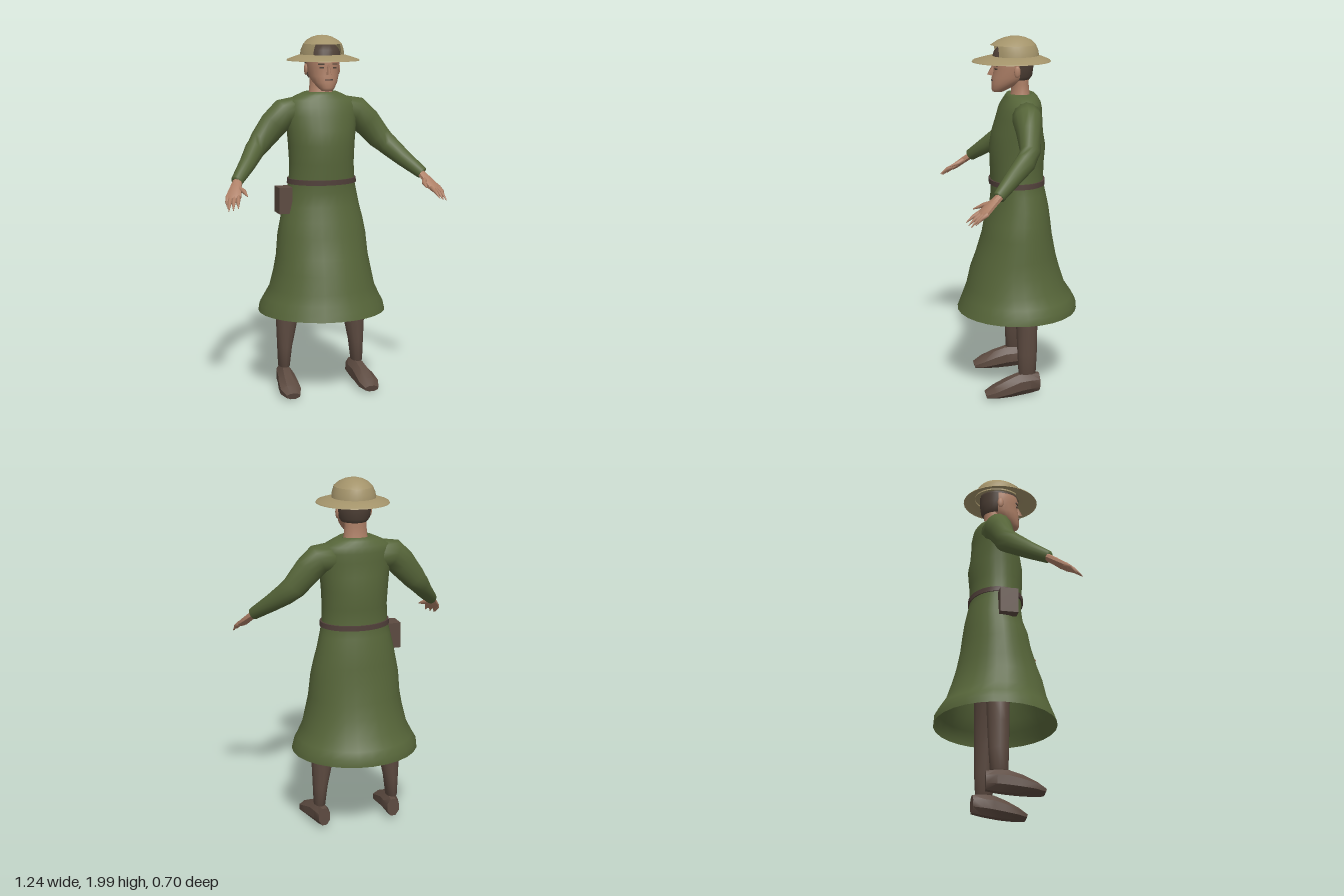
import * as THREE from 'three';
import { toCreasedNormals } from 'three/addons/utils/BufferGeometryUtils.js';

const V = (x, y, z) => new THREE.Vector3(x, y, z);

// Joins rings of points into a surface; wrap closes each ring.
function skin(rings, wrap = true) {
  const n = rings[0].length, index = [];
  for (let i = 0; i < rings.length - 1; i++) {
    for (let j = 0; j < (wrap ? n : n - 1); j++) {
      const k = (j + 1) % n, a = i * n + j, b = i * n + k, c = a + n, d = b + n;
      index.push(a, b, d, a, d, c);
    }
  }
  const g = new THREE.BufferGeometry();
  g.setFromPoints(rings.flat());
  g.setIndex(index);
  g.computeVertexNormals();
  return g;
}

// Upright loft through ellipses [y, halfWidth, zFront, zBack, xCentre]; angle 0 is the front.
function loft(sections, n = 24, from = 0, to = Math.PI * 2) {
  const wrap = to - from > 6.28;
  const rings = sections.map(([y, rx, zf, zb, cx = 0]) =>
    Array.from({ length: wrap ? n : n + 1 }, (_, j) => {
      const a = from + (to - from) * j / n;
      return V(cx + rx * Math.sin(a), y, (zf + zb) / 2 + (zf - zb) / 2 * Math.cos(a));
    }));
  return skin(rings, wrap);
}

// Limb along points [x, y, z, halfWidth, halfHeight].
function limb(path, n = 10) {
  const pts = path.map(p => V(p[0], p[1], p[2]));
  const rings = path.map((p, i) => {
    const t = pts[Math.min(i + 1, pts.length - 1)].clone().sub(pts[Math.max(i - 1, 0)]).normalize();
    const u = V(0, 1, 0).cross(t).normalize(), v = t.clone().cross(u);
    return Array.from({ length: n }, (_, j) => {
      const a = (j + 0.5) / n * Math.PI * 2;
      return pts[i].clone().addScaledVector(u, p[3] * Math.cos(a)).addScaledVector(v, p[4] * Math.sin(a));
    });
  });
  const cap = i => Array.from({ length: n }, () => pts[i].clone());
  return skin([cap(0), ...rings, cap(pts.length - 1)]);
}

// Mirrors a geometry to the other side, keeping faces outward.
function mirror(geometry) {
  const g = geometry.index ? geometry.toNonIndexed() : geometry.clone();
  for (const name of ['position', 'normal']) {
    const at = g.attributes[name];
    for (let i = 0; i < at.count; i += 3) {
      const b = [at.getX(i + 1), at.getY(i + 1), at.getZ(i + 1)];
      at.setXYZ(i + 1, at.getX(i + 2), at.getY(i + 2), at.getZ(i + 2));
      at.setXYZ(i + 2, ...b);
    }
    for (let i = 0; i < at.count; i++) at.setX(i, -at.getX(i));
  }
  return g;
}

export function createModel() {
  const model = new THREE.Group();
  const material = (name, color, side = THREE.FrontSide) => {
    const m = new THREE.MeshStandardMaterial({ color, side });
    m.name = name;
    return m;
  };
  const green = material('green cloth', 0x566539, THREE.DoubleSide);
  const straw = material('straw', 0xa3936a, THREE.DoubleSide);
  const skinTone = material('skin', 0xae8067);
  const brown = material('brown leather', 0x5c4a40);
  const belt = material('dark belt', 0x51403a, THREE.DoubleSide);
  const hair = material('dark hair', 0x4d3f35, THREE.DoubleSide);
  const add = (name, geometry, mat) => {
    const m = new THREE.Mesh(geometry, mat);
    m.name = name;
    model.add(m);
    return m;
  };
  const pair = (name, geometry, mat) => {
    add('left' + name, geometry, mat);
    add('right' + name, mirror(geometry), mat);
  };

  // Robe, open at the hem and neck
  add('robe', loft([
    [0.46, 0.36, 0.32, -0.355], [0.50, 0.352, 0.305, -0.352], [0.54, 0.33, 0.29, -0.33],
    [0.60, 0.3, 0.268, -0.29], [0.70, 0.277, 0.245, -0.257], [0.78, 0.262, 0.215, -0.235],
    [0.90, 0.252, 0.178, -0.212], [0.98, 0.236, 0.164, -0.203], [1.06, 0.218, 0.135, -0.192],
    [1.14, 0.2, 0.126, -0.175], [1.20, 0.186, 0.128, -0.162], [1.30, 0.183, 0.132, -0.165],
    [1.40, 0.188, 0.135, -0.174], [1.48, 0.196, 0.12, -0.16], [1.56, 0.205, 0.095, -0.154],
    [1.61, 0.205, 0.08, -0.152], [1.645, 0.19, 0.06, -0.145], [1.672, 0.135, 0.046, -0.13],
    [1.69, 0.092, 0.038, -0.112], [1.675, 0.07, 0.03, -0.095]], 28), green);

  // Sleeves
  pair('Sleeve', limb([
    [0.13, 1.585, -0.045, 0.08, 0.08], [0.21, 1.573, -0.04, 0.08, 0.083],
    [0.27, 1.515, -0.035, 0.066, 0.08], [0.345, 1.425, -0.028, 0.054, 0.068],
    [0.39, 1.38, 0.005, 0.052, 0.06], [0.45, 1.315, 0.08, 0.044, 0.048],
    [0.53, 1.238, 0.168, 0.032, 0.034]], 14), green);

  // Hands: palm, four pointed fingers and a thumb
  pair('Palm', toCreasedNormals(limb([
    [0.52, 1.245, 0.155, 0.024, 0.02], [0.543, 1.21, 0.2, 0.032, 0.02],
    [0.567, 1.17, 0.25, 0.044, 0.018], [0.575, 1.155, 0.268, 0.036, 0.013]], 8), 0.7), skinTone);
  const tips = [[0.61, 1.115, 0.3], [0.612, 1.105, 0.325], [0.59, 1.11, 0.335], [0.565, 1.12, 0.345]];
  tips.forEach(([x, y, z], i) => {
    const bx = 0.598 - i * 0.018, bz = 0.238 + i * 0.009;
    pair('Finger' + (i + 1), limb([[bx, 1.168, bz, 0.012, 0.014],
      [(bx + x) / 2 + 0.003, (1.18 + y) / 2, (bz + z) / 2, 0.012, 0.011], [x, y, z, 0.002, 0.002]], 6), skinTone);
  });
  pair('Thumb', limb([[0.54, 1.215, 0.19, 0.017, 0.016], [0.512, 1.195, 0.245, 0.014, 0.013],
    [0.505, 1.175, 0.3, 0.003, 0.003]], 6), skinTone);

  // Legs and shoes
  pair('Leg', loft([
    [0.132, 0, -0.04, -0.04, 0.218], [0.135, 0.032, 0.01, -0.088, 0.218], [0.25, 0.042, 0.015, -0.095, 0.213],
    [0.40, 0.063, 0.02, -0.1, 0.2], [0.50, 0.068, 0.022, -0.102, 0.192],
    [0.70, 0.08, 0.05, -0.11, 0.145], [0.90, 0.09, 0.07, -0.12, 0.1]], 12), brown);
  pair('Shoe', toCreasedNormals(limb([
    [0.208, 0.077, -0.108, 0.037, 0.055], [0.213, 0.076, -0.05, 0.047, 0.064],
    [0.218, 0.072, 0.005, 0.05, 0.066], [0.225, 0.058, 0.07, 0.058, 0.056],
    [0.23, 0.04, 0.145, 0.062, 0.038], [0.23, 0.026, 0.198, 0.042, 0.019]], 8), 0.6), brown);

  // Belt band and side pouch
  add('belt', toCreasedNormals(loft([
    [1.186, 0.184, 0.125, -0.163], [1.186, 0.197, 0.137, -0.172], [1.214, 0.195, 0.138, -0.172],
    [1.214, 0.182, 0.127, -0.163]], 28), 0.7), belt);
  const bag = new THREE.BoxGeometry(0.075, 0.145, 0.1, 1, 2, 1);
  for (let i = 0; i < bag.attributes.position.count; i++) {
    const p = bag.attributes.position;
    if (p.getY(i) < -0.01 && p.getX(i) > 0) p.setX(i, 0.02);
  }
  bag.computeVertexNormals();
  add('pouch', bag, brown).position.set(-0.228, 1.1, 0.01);

  // Neck and head
  add('neck', loft([[1.62, 0.085, 0.035, -0.1], [1.69, 0.066, 0.015, -0.088],
    [1.74, 0.062, 0.01, -0.083], [1.82, 0.065, 0.01, -0.085]], 16), skinTone);
  add('head', loft([
    [1.698, 0, 0.09, 0.09], [1.70, 0.03, 0.115, 0.055], [1.717, 0.045, 0.123, 0.02],
    [1.745, 0.066, 0.122, -0.03], [1.78, 0.08, 0.12, -0.08], [1.83, 0.088, 0.112, -0.098],
    [1.87, 0.09, 0.117, -0.1], [1.92, 0.085, 0.1, -0.1], [1.95, 0.055, 0.06, -0.07],
    [1.96, 0, 0, 0]], 20), skinTone);
  // Nose, ears, lips, eyes and brows
  add('nose', skin([
    [V(-0.017, 1.786, 0.11), V(0.017, 1.786, 0.11), V(0, 1.793, 0.146)],
    [V(-0.008, 1.845, 0.105), V(0.008, 1.845, 0.105), V(0, 1.845, 0.118)]].map(r => [r[2], r[1], r[0]]).map(r => [r[0], r[1], r[2]])), skinTone);
  const ear = new THREE.SphereGeometry(1, 8, 6).scale(0.009, 0.032, 0.018).translate(0.094, 1.815, -0.005);
  pair('Ear', ear, skinTone);
  add('mouth', new THREE.BoxGeometry(0.045, 0.006, 0.008).translate(0, 1.762, 0.118), belt);
  pair('Eye', new THREE.BoxGeometry(0.024, 0.008, 0.008).rotateY(0.3).translate(0.036, 1.826, 0.102), hair);
  pair('Brow', new THREE.BoxGeometry(0.034, 0.006, 0.008).rotateY(0.35).translate(0.038, 1.846, 0.103), hair);

  // Hair: cropped back and a fringe under the hat
  add('hairBack', loft([[1.765, 0.074, 0.09, -0.088], [1.785, 0.088, 0.1, -0.102], [1.83, 0.096, 0.115, -0.108],
    [1.885, 0.097, 0.118, -0.11]], 16, Math.PI * 0.56, Math.PI * 1.44), hair);
  add('hairTop', loft([[1.88, 0.097, 0.12, -0.108], [1.92, 0.092, 0.108, -0.105],
    [1.95, 0.065, 0.075, -0.08], [1.965, 0, 0, 0]], 20), hair);

  // Hat: wide brim, crown open over the brow, and domed top
  add('hatBrim', loft([[1.862, 0.2, 0.228, -0.205], [1.869, 0.196, 0.223, -0.2], [1.882, 0.16, 0.178, -0.17],
    [1.894, 0.12, 0.127, -0.138], [1.892, 0.098, 0.105, -0.11]], 32), straw);
  add('hatCrown', loft([[1.885, 0.121, 0.124, -0.139], [1.92, 0.117, 0.126, -0.136], [1.952, 0.104, 0.127, -0.122]],
    26, Math.PI * 0.23, Math.PI * 1.77), straw);
  add('hatTop', loft([[1.952, 0.104, 0.127, -0.122], [1.975, 0.082, 0.092, -0.1],
    [1.99, 0.054, 0.055, -0.068], [1.998, 0.026, 0.02, -0.035], [2.0, 0, -0.006, -0.006]], 32), straw);
  return model;
}
